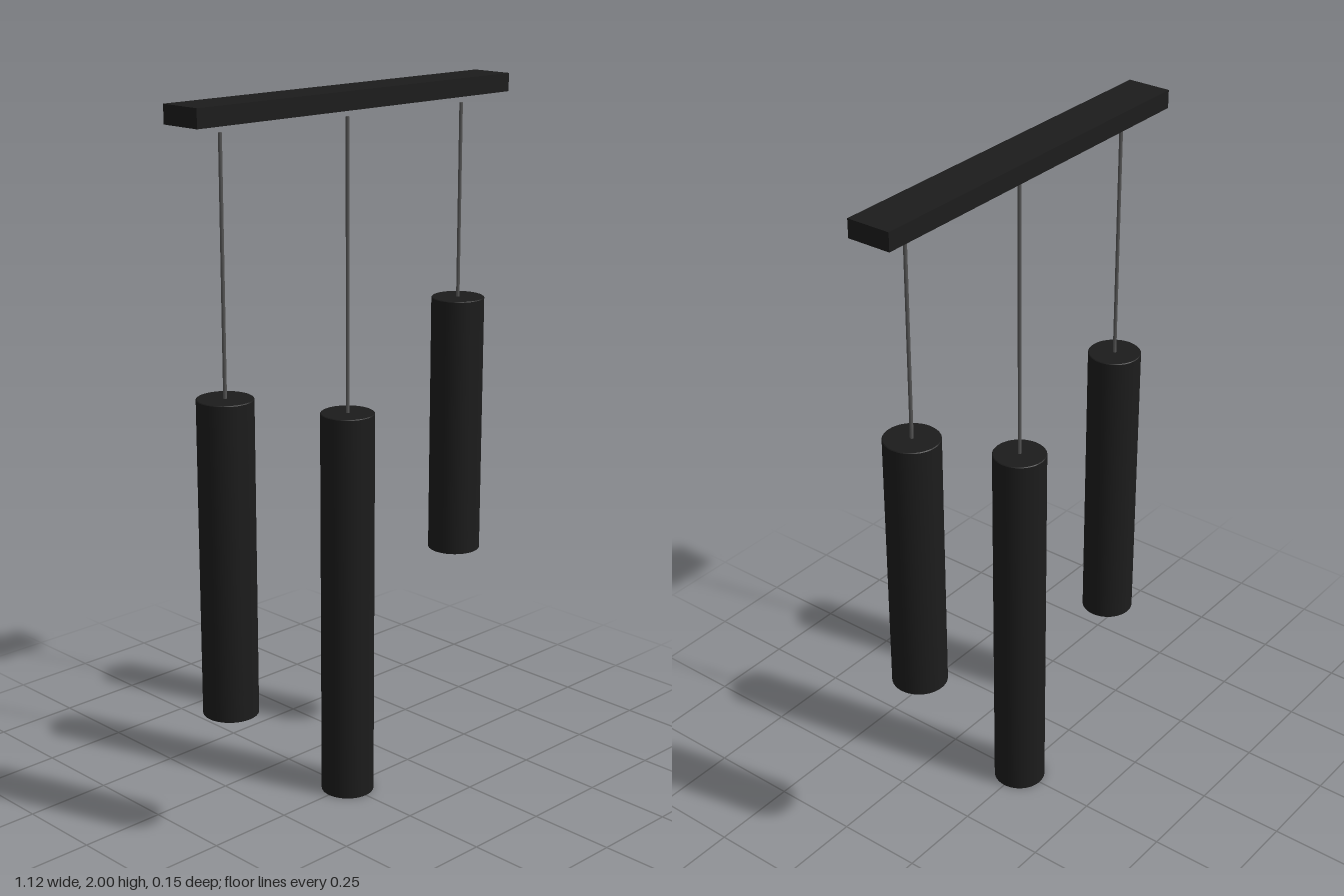
import * as THREE from 'three';
import { toCreasedNormals } from 'three/addons/utils/BufferGeometryUtils.js';

const RADIUS = 0.075;
const INNER = 0.066;
const RECESS = 0.025;

const black = new THREE.MeshStandardMaterial({ color: 0x1c1c1c });
const cableGrey = new THREE.MeshStandardMaterial({ color: 0x555555 });
const lensGrey = new THREE.MeshStandardMaterial({ color: 0x9a928a });

function add(parent, name, geometry, material, x = 0, y = 0, z = 0) {
  const mesh = new THREE.Mesh(geometry, material);
  mesh.name = name;
  mesh.position.set(x, y, z);
  parent.add(mesh);
  return mesh;
}

// One hanging lamp: tube shade open at the bottom, lens with spoked grille, cable
function createPendant(name, x, bottom, top, cableTop) {
  const pendant = new THREE.Group();
  pendant.name = name;
  pendant.position.set(x, bottom, 0);
  const h = top - bottom;

  // Shade with a shallow recess underneath
  const profile = [
    [0, RECESS], [INNER, RECESS], [INNER, 0], [RADIUS, 0],
    [RADIUS, h - 0.002], [RADIUS - 0.002, h], [0, h],
  ].map(([r, y]) => new THREE.Vector2(r, y));
  add(pendant, 'shade', toCreasedNormals(new THREE.LatheGeometry(profile, 48), 0.6), black);

  // Lens inside the recess
  add(pendant, 'lens', new THREE.CylinderGeometry(0.058, 0.058, 0.006, 40), lensGrey, 0, RECESS - 0.003);

  // Grille: hub and radial spokes
  add(pendant, 'grilleHub', new THREE.CylinderGeometry(0.014, 0.014, 0.014, 24), black, 0, RECESS - 0.01);
  for (let i = 0; i < 6; i++) {
    const a = (i * Math.PI) / 3;
    const spoke = add(pendant, 'grilleSpoke', new THREE.BoxGeometry(0.056, 0.012, 0.007), black,
      Math.cos(a) * 0.038, RECESS - 0.01, -Math.sin(a) * 0.038);
    spoke.rotation.y = a;
  }

  // Cable
  const length = cableTop - top;
  add(pendant, 'cable', new THREE.CylinderGeometry(0.005, 0.005, length, 12), cableGrey, 0, h + length / 2);
  return pendant;
}

export function createModel() {
  const model = new THREE.Group();
  model.name = 'pendantLight';

  // Ceiling bar
  add(model, 'ceilingBar', new THREE.BoxGeometry(1.125, 0.05, 0.125), black, 0, 1.975, 0);

  // Three lamps at staggered heights
  model.add(
    createPendant('rightPendant', -0.4375, 0.38, 1.25, 1.925),
    createPendant('middlePendant', 0, 0, 1.125, 1.925),
    createPendant('leftPendant', 0.4375, 0.63, 1.38, 1.925),
  );
  return model;
}
